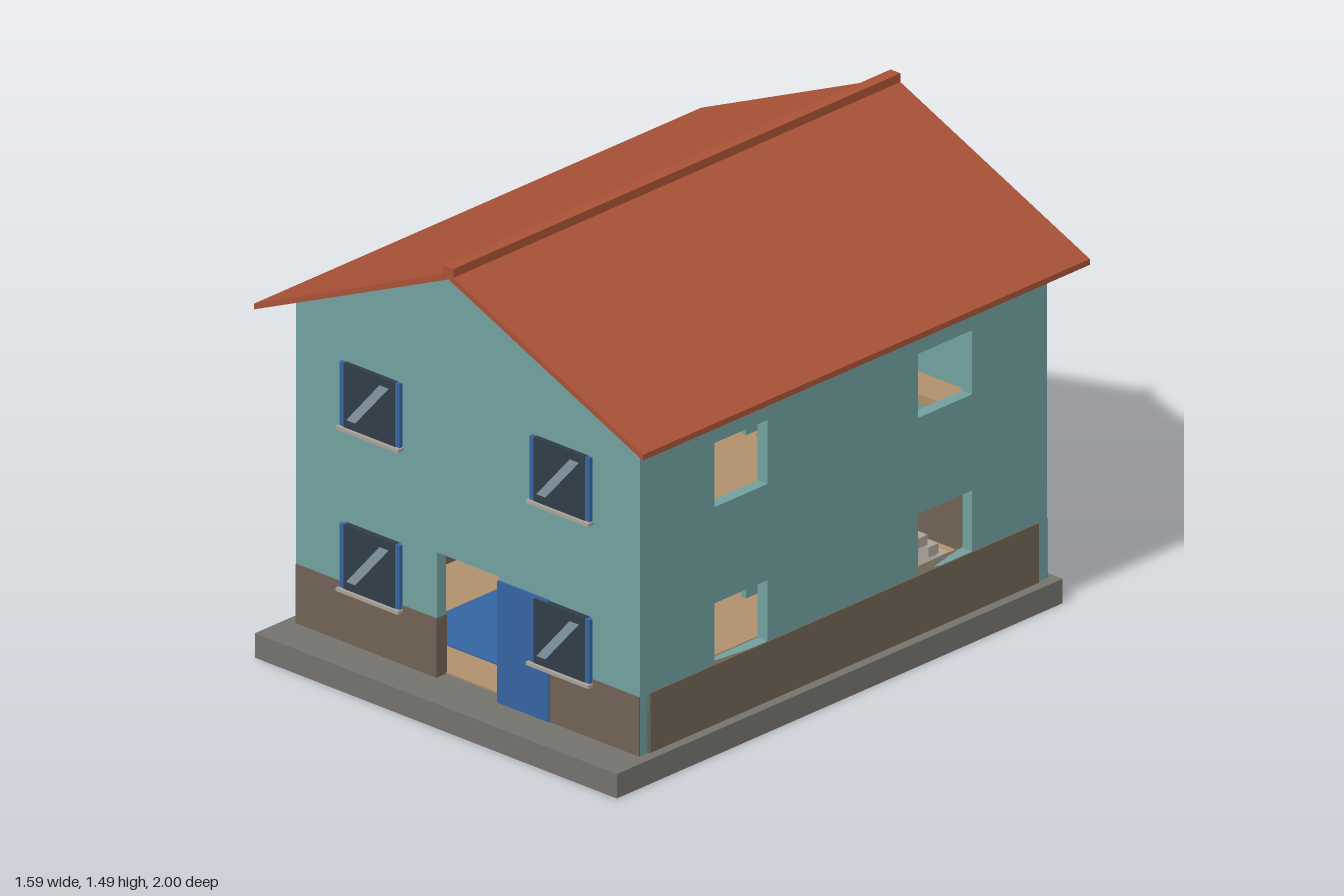
import * as THREE from 'three';

const mat = (color, side = THREE.FrontSide) => new THREE.MeshStandardMaterial({ color, side });
const M = {
  wall: mat(0x70a09e), band: mat(0x6f6253), roof: mat(0xa85236), stone: mat(0x74726d),
  blue: mat(0x3464a0), floor: mat(0xb08f6c), step: mat(0xaaa29a), glass: mat(0x313d48),
  glint: mat(0x8298a4, THREE.DoubleSide),
};

// Box given by its min and max corners
function box(parent, name, material, x0, x1, y0, y1, z0, z1) {
  const m = new THREE.Mesh(new THREE.BoxGeometry(x1 - x0, y1 - y0, z1 - z0), material);
  m.position.set((x0 + x1) / 2, (y0 + y1) / 2, (z0 + z1) / 2);
  m.name = name;
  parent.add(m);
  return m;
}

const poly = (pts) => new THREE.Shape(pts.map(([x, y]) => new THREE.Vector2(x, y)));

// Extruded outline with rectangular holes [x0, x1, y0, y1]
function slab(parent, name, material, pts, holes, depth) {
  const shape = poly(pts);
  for (const [a, b, c, d] of holes) shape.holes.push(poly([[a, c], [a, d], [b, d], [b, c]]));
  const geo = new THREE.ExtrudeGeometry(shape, { depth, bevelEnabled: false });
  const m = new THREE.Mesh(geo, material);
  m.name = name;
  parent.add(m);
  return m;
}

// Glazed window standing on the front wall
function frontWindow(parent, cx, y0) {
  const g = new THREE.Group();
  g.name = 'frontWindow';
  g.position.set(cx, y0, 0.86);
  box(g, 'windowFrame', M.blue, -0.123, 0.123, 0.005, 0.215, -0.01, 0.013);
  box(g, 'windowGlass', M.glass, -0.105, 0.105, 0.005, 0.216, -0.011, 0.015);
  box(g, 'windowSill', M.step, -0.128, 0.128, -0.005, 0.006, 0, 0.025);
  const glint = new THREE.Mesh(
    new THREE.ShapeGeometry(poly([[-0.092, 0.033], [-0.055, 0.033], [0.083, 0.19], [0.045, 0.19]])), M.glint);
  glint.name = 'glassGlint';
  glint.position.z = 0.017;
  g.add(glint);
  parent.add(g);
}

export function createModel() {
  const house = new THREE.Group();
  house.name = 'house';
  const W = 0.705, EAVE = 1.146, PEAK = 1.452, Y0 = 0.08, ZF = 0.86, ZB = -0.91, T = 0.04;

  // Foundation and floors
  box(house, 'foundation', M.stone, -0.742, 0.742, 0, Y0, -0.94, 1);
  box(house, 'groundFloor', M.floor, -W + T, W - T, Y0, Y0 + 0.005, ZB + T, ZF - T);
  const fx = W - T, fz0 = ZB + T, fz1 = ZF - T;
  const upper = slab(house, 'upperFloor', M.floor,
    [[-fx, -fz1], [fx, -fz1], [fx, -fz0], [-fx, -fz0]], [[0.18, 0.52, 0.2, 0.75]], 0.03);
  upper.rotation.x = -Math.PI / 2;
  upper.position.y = 0.59;
  box(house, 'ceiling', M.floor, -fx, fx, 1.1, 1.115, fz0, fz1);

  // Gable walls
  const low = [0.275, 0.475], high = [0.79, 1.0];
  const gableHoles = [];
  for (const y of [low, high]) for (const x of [[-0.505, -0.275], [0.275, 0.505]]) gableHoles.push([...x, ...y]);
  const top = [[W, EAVE], [0, PEAK], [-W, EAVE]];
  const door = [[-W, Y0], [-0.127, Y0], [-0.127, 0.49], [0.127, 0.49], [0.127, Y0], [W, Y0]];
  slab(house, 'frontWall', M.wall, [...door, ...top], gableHoles, T).position.z = ZF - T;
  slab(house, 'backWall', M.wall, [[-W, Y0], [W, Y0], ...top], gableHoles, T).position.z = ZB;

  // Side walls and their plinth bands
  const sideHoles = [];
  for (const y of [low, high]) for (const z of [[-0.535, -0.305], [0.35, 0.585]]) sideHoles.push([...z, ...y]);
  for (const s of [-1, 1]) {
    // shape x runs along -z
    const wall = slab(house, s > 0 ? 'leftWall' : 'rightWall', M.wall,
      [[-fz1, Y0], [-fz0, Y0], [-fz0, EAVE - 0.005], [-fz1, EAVE - 0.005]], sideHoles, T);
    wall.rotation.y = Math.PI / 2;
    wall.position.x = s > 0 ? W - T : -W;
    const x = s * (W - T / 2);
    box(house, 'sideBand', M.band, x - 0.025, x + 0.025, Y0, 0.275, fz0, fz1);
  }

  // Front and back plinth bands
  box(house, 'backBand', M.band, -W, W, Y0, 0.276, ZB - 0.003, ZB + T + 0.003);
  for (const [a, b] of [[-W, -0.127], [0.127, W]])
    box(house, 'frontBand', M.band, a, b, Y0, 0.274, ZF - T - 0.003, ZF + 0.003);

  // Front windows and the opened door
  for (const x of [-0.392, 0.388]) for (const y of [0.255, 0.785]) frontWindow(house, x, y);
  box(house, 'door', M.blue, 0.127, 0.337, Y0, 0.478, ZF, ZF + 0.008);

  // Interior: partition, rug and staircase
  box(house, 'lowerPartition', M.wall, 0.14, 0.16, Y0, 0.59, fz0, -0.18);
  box(house, 'upperPartition', M.wall, 0.14, 0.16, 0.62, 1.1, fz0, -0.18);
  box(house, 'rug', M.blue, -0.42, 0.02, Y0, 0.09, 0.25, 0.68);
  const stairs = new THREE.Group();
  stairs.name = 'stairs';
  for (let i = 0; i < 12; i++) {
    const y = 0.095 + i * 0.0435, z = -0.75 + i * 0.047;
    box(stairs, 'stairStep', M.step, 0.2, 0.5, y, y + 0.033, z, z + 0.043);
  }
  house.add(stairs);

  // Roof and ridge cap
  slab(house, 'roof', M.roof,
    [[-0.797, 1.106], [0, PEAK], [0.797, 1.106], [0.797, 1.125], [0, 1.472], [-0.797, 1.125]], [], 1.945).position.z = -1;
  box(house, 'ridgeCap', M.roof, -0.02, 0.02, 1.455, 1.492, -1, 0.945);

  return house;
}
